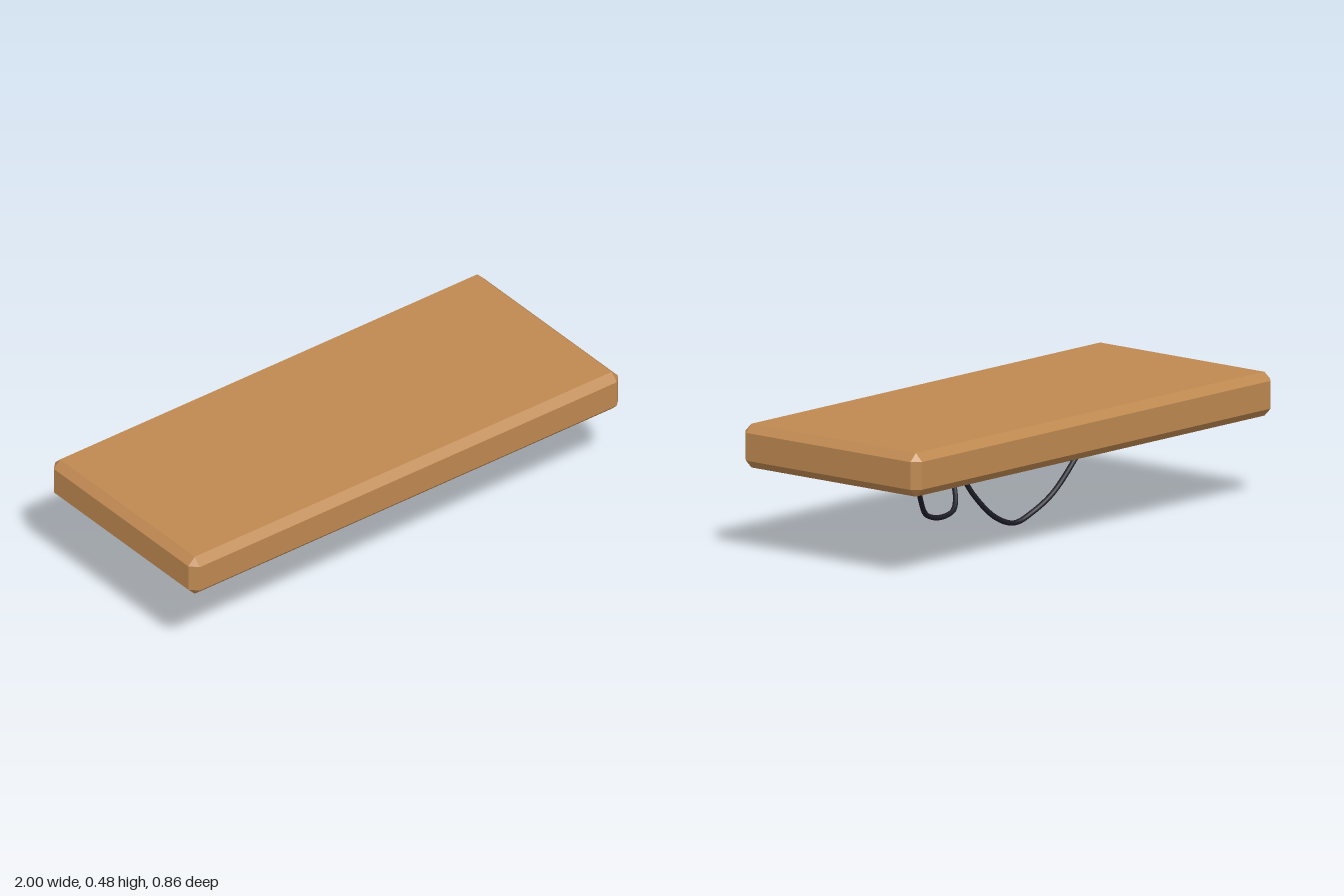
import * as THREE from 'three';
import { ConvexGeometry } from 'three/addons/geometries/ConvexGeometry.js';

const wood = new THREE.MeshStandardMaterial({ color: 0xbf8951 });
wood.name = 'wood';
const cableBlack = new THREE.MeshStandardMaterial({ color: 0x1c1c26 });
cableBlack.name = 'cable black';

// Box with every edge chamfered: hull of three points at each corner
function chamferedBox(width, height, depth, bevel) {
  const x = width / 2, y = height / 2, z = depth / 2;
  const points = [];
  for (const sx of [-1, 1]) for (const sy of [-1, 1]) for (const sz of [-1, 1]) {
    points.push(
      new THREE.Vector3(sx * x, sy * (y - bevel), sz * (z - bevel)),
      new THREE.Vector3(sx * (x - bevel), sy * y, sz * (z - bevel)),
      new THREE.Vector3(sx * (x - bevel), sy * (y - bevel), sz * z),
    );
  }
  return new ConvexGeometry(points);
}

// Round cable through a few points
function cable(name, points) {
  const curve = new THREE.CatmullRomCurve3(points.map((p) => new THREE.Vector3(...p)));
  const mesh = new THREE.Mesh(new THREE.TubeGeometry(curve, 64, 0.01, 8), cableBlack);
  mesh.name = name;
  return mesh;
}

export function createModel() {
  const model = new THREE.Group();
  model.name = 'deskTop';

  // Thick wooden slab
  const slab = new THREE.Mesh(chamferedBox(2, 0.164, 0.86, 0.03), wood);
  slab.name = 'slab';
  slab.position.y = 0.403;
  model.add(slab);

  // Two cables sagging from the underside
  model.add(cable('longCable', [
    [-0.4, 0.33, -0.056], [-0.375, 0.312, -0.064], [-0.315, 0.25, -0.074],
    [-0.2, 0.105, -0.045], [-0.12, 0.04, -0.014], [-0.04, 0.011, 0],
    [0.06, 0.045, 0.007], [0.16, 0.14, 0.025], [0.225, 0.245, 0.045], [0.285, 0.33, 0.062],
  ]));
  model.add(cable('shortCable', [
    [0.135, 0.33, 0.18], [0.185, 0.28, 0.134], [0.215, 0.21, 0.083],
    [0.25, 0.145, 0.037], [0.295, 0.108, 0.009], [0.375, 0.096, 0],
    [0.465, 0.12, -0.011], [0.53, 0.185, -0.04], [0.585, 0.265, -0.075], [0.63, 0.33, -0.103],
  ]));

  return model;
}
